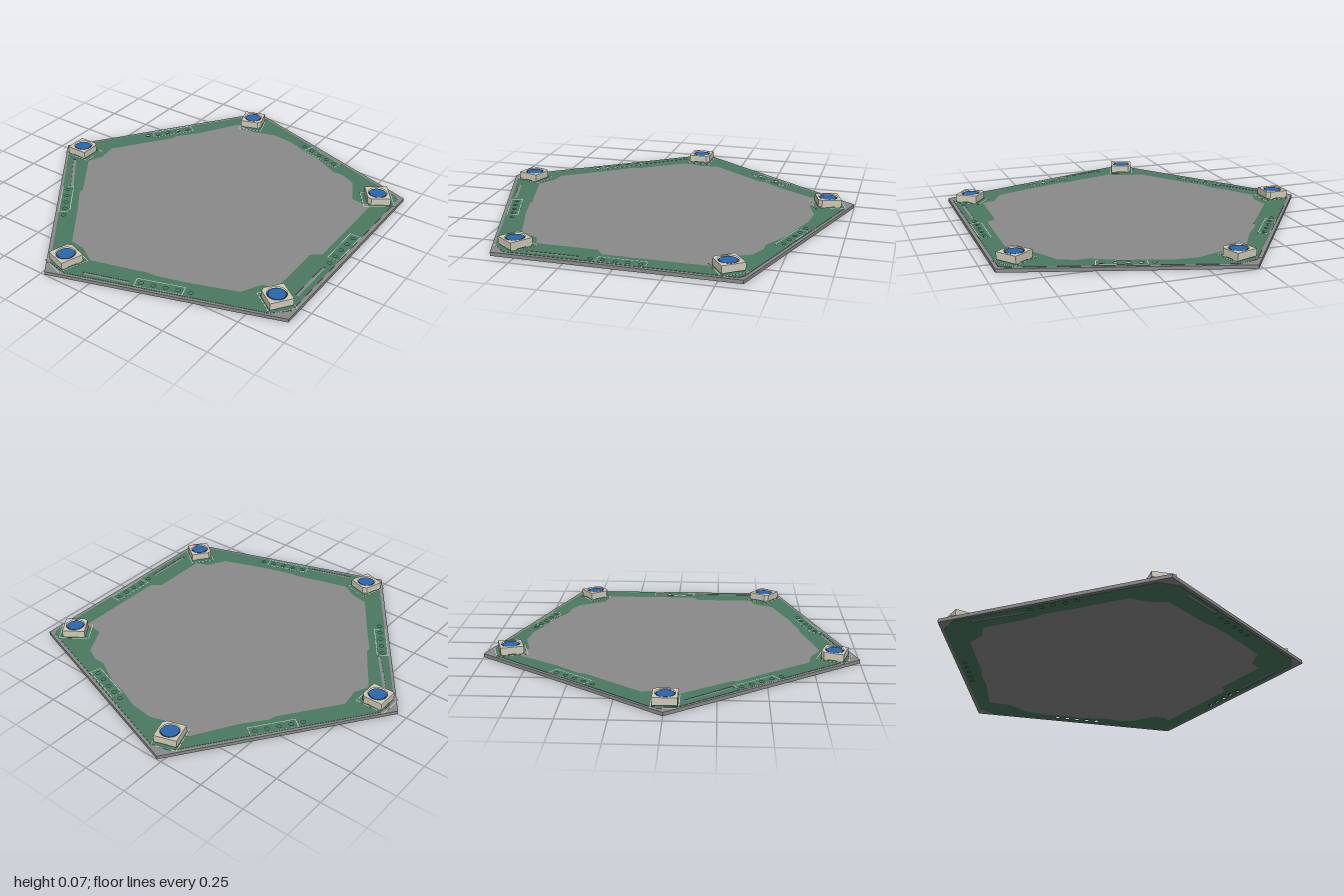
import * as THREE from 'three';

const mat = (color) => new THREE.MeshStandardMaterial({ color });
const GREY = mat(0x8a8a8a), GREEN = mat(0x4a7a62), CREAM = mat(0xcfcab6);
const BLUE = mat(0x2a66b0), DARK = mat(0x3c3c3a), INK = mat(0xc4d2c8);

// Plan coordinates are [x, z]; shapes are drawn with y = -z and laid flat.
const v = ([x, z]) => new THREE.Vector2(x, -z);
const poly = (pts) => new THREE.Shape(pts.map(v));
const circle = ([x, z], r, n = 16) => new THREE.Path().absarc(x, -z, r, 0, Math.PI * 2, true);

function plate(name, shape, y, depth, material, curveSegments = 8) {
  const geo = new THREE.ExtrudeGeometry(shape, { depth, bevelEnabled: false, curveSegments });
  geo.rotateX(-Math.PI / 2).translate(0, y, 0);
  const mesh = new THREE.Mesh(geo, material);
  mesh.name = name;
  return mesh;
}

const rect = (w, d) => [[-w / 2, -d / 2], [w / 2, -d / 2], [w / 2, d / 2], [-w / 2, d / 2]];

// Thin printed rectangle outline
function outline(name, w, d, y) {
  const shape = poly(rect(w, d));
  shape.holes.push(poly(rect(w - 0.007, d - 0.007)));
  return plate(name, shape, y, 0.0006, INK);
}

// Narrow gap from a to b
function slot(a, b, w) {
  const dx = b[0] - a[0], dz = b[1] - a[1], l = Math.hypot(dx, dz);
  const nx = -dz / l * w / 2, nz = dx / l * w / 2;
  return poly([[a[0] + nx, a[1] + nz], [b[0] + nx, b[1] + nz], [b[0] - nx, b[1] - nz], [a[0] - nx, a[1] - nz]]);
}

const EDGE = [[0, -0.95], [1, -0.225], [0.62, 0.945], [-0.62, 0.945], [-1, -0.225]];
const MASK_OUTER = [[-0.06, -0.89], [0.06, -0.89], [0.93, -0.25], [0.955, -0.14], [0.615, 0.9],
  [0.59, 0.925], [-0.56, 0.925], [-0.635, 0.85], [-0.955, -0.14], [-0.93, -0.25]];
const MASK_INNER = [[-0.07, -0.73], [0.015, -0.695], [0.12, -0.71], [0.42, -0.49], [0.46, -0.48],
  [0.57, -0.39], [0.8, -0.25], [0.77, -0.13], [0.81, 0], [0.795, 0.13], [0.75, 0.24], [0.72, 0.35],
  [0.64, 0.5], [0.64, 0.56], [0.6, 0.64], [0.45, 0.72], [0.44, 0.79], [0.47, 0.83], [-0.09, 0.83],
  [-0.13, 0.78], [-0.45, 0.78], [-0.475, 0.71], [-0.58, 0.655], [-0.67, 0.4], [-0.715, 0.24],
  [-0.715, 0.2], [-0.745, 0.1], [-0.8, -0.1], [-0.745, -0.19], [-0.73, -0.28], [-0.49, -0.45],
  [-0.36, -0.55], [-0.325, -0.555]];
const SLOTS = [[[-0.33, -0.63], [-0.1, -0.81]], [[-0.9, -0.06], [-0.83, 0.17]], [[-0.45, 0.89], [-0.18, 0.89]]];

// Each row of five pin holes: first and last hole
const ROWS = [
  [[-0.13, 0.892], [0.122, 0.892]],
  [[0.797, 0.22], [0.72, 0.457]],
  [[0.365, -0.625], [0.567, -0.478]],
  [[-0.573, -0.478], [-0.37, -0.625]],
  [[-0.722, 0.462], [-0.8, 0.222]],
];
const along = ([a, b], t) => [a[0] + (b[0] - a[0]) * t, a[1] + (b[1] - a[1]) * t];
const PINS = ROWS.flatMap((row) => [0, 1, 2, 3, 4].map((i) => along(row, i / 4)));
const LIGHTS = [[-0.005, -0.823], [0.86, -0.185], [0.525, 0.83], [-0.537, 0.83], [-0.868, -0.197]];

function maskShape() {
  const shape = poly(MASK_OUTER);
  shape.holes.push(poly(MASK_INNER), ...PINS.map((p) => circle(p, 0.012)),
    ...SLOTS.map(([a, b]) => slot(a, b, 0.016)));
  return shape;
}

// Square light: housing with a round well, blue lens and four solder pads
function makeLight() {
  const g = new THREE.Group();
  g.name = 'cornerLight';
  const h = 0.0615;
  const body = poly([[-h, -h], [h, -h], [h, h - 0.018], [h - 0.018, h], [-h, h]]);
  g.add(plate('housingBase', body, 0.027, 0.03, CREAM));
  const rim = body.clone();
  rim.holes.push(circle([0, 0], 0.05));
  g.add(plate('housingRim', rim, 0.057, 0.009, CREAM, 24));

  const well = new THREE.Mesh(new THREE.CylinderGeometry(0.05, 0.05, 0.003, 32), DARK);
  well.name = 'wellFloor';
  well.position.y = 0.0585;
  const lens = new THREE.Mesh(new THREE.CylinderGeometry(0.044, 0.044, 0.005, 32), BLUE);
  lens.name = 'lens';
  lens.position.y = 0.0615;
  g.add(well, lens);

  for (const sx of [-1, 1]) for (const sz of [-1, 1]) {
    const pad = new THREE.Mesh(new THREE.BoxGeometry(0.026, 0.008, 0.03), CREAM);
    pad.name = 'solderPad';
    pad.position.set(sx * 0.046, 0.025, sz * 0.04);
    g.add(pad);
  }
  g.add(outline('lightOutline', 0.138, 0.168, 0.0222));
  return g;
}

export function createModel() {
  const model = new THREE.Group();
  model.name = 'pentagonCircuitBoard';

  // Five-sided board, drilled through
  const board = poly(EDGE);
  board.holes.push(...PINS.map((p) => circle(p, 0.012)));
  model.add(plate('board', board, 0.0015, 0.019, GREY));

  // Green border on both faces
  model.add(plate('topBorder', maskShape(), 0.0205, 0.0017, GREEN));
  model.add(plate('bottomBorder', maskShape(), 0, 0.0015, GREEN));

  // Printed frame round the last four holes of each row
  for (const row of ROWS) {
    const frame = outline('pinRowOutline', 0.25, 0.062, 0.0222);
    const [x, z] = along(row, 0.625);
    frame.position.set(x, 0, z);
    frame.rotation.y = -Math.atan2(row[1][1] - row[0][1], row[1][0] - row[0][0]);
    model.add(frame);
  }

  // One light in each corner, facing the centre
  LIGHTS.forEach(([x, z], i) => {
    const light = makeLight();
    light.position.set(x, 0, z);
    light.rotation.y = -i * Math.PI * 2 / 5;
    model.add(light);
  });
  return model;
}
